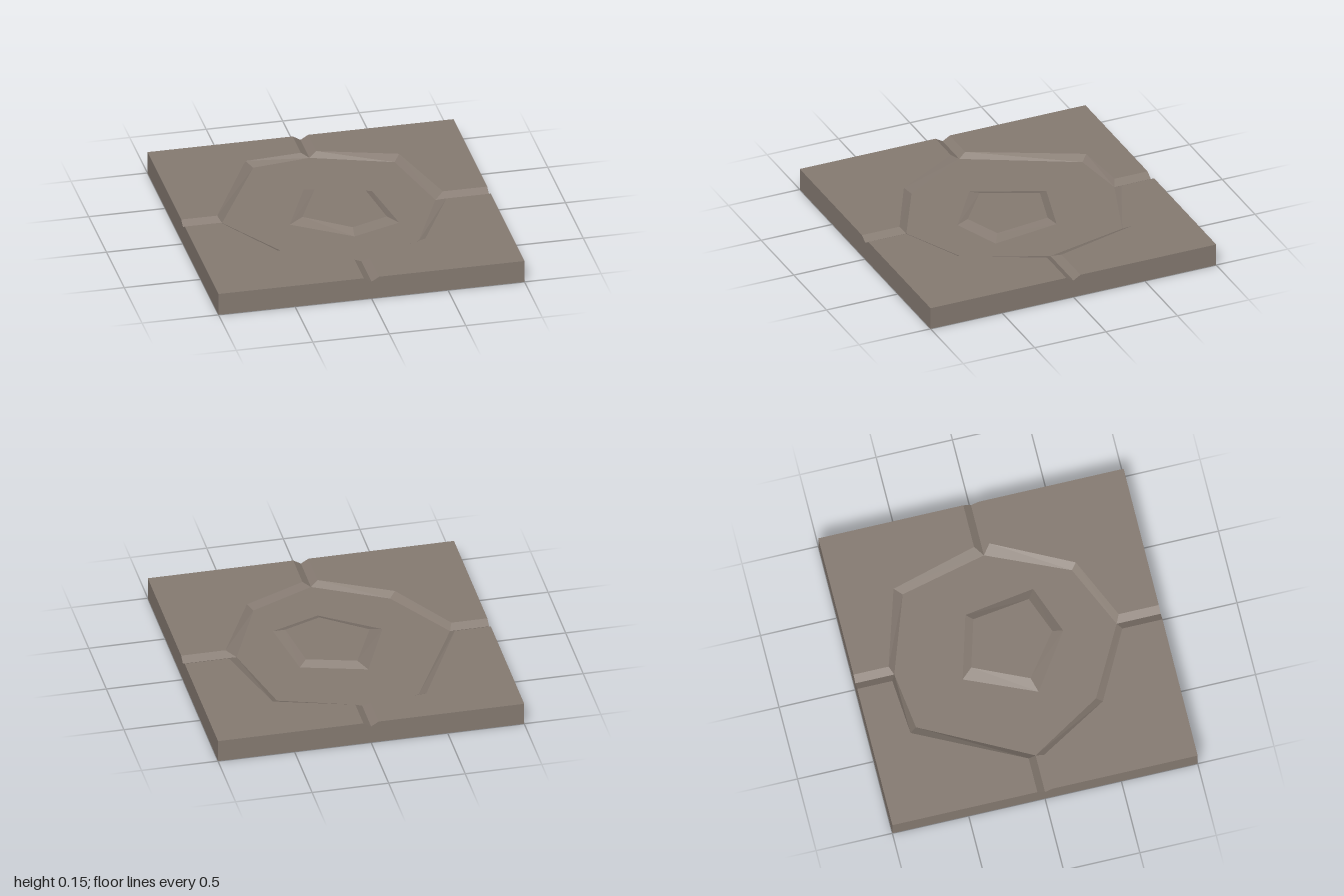
import * as THREE from 'three';

const TOP = 0.15, LOW = 0.12, GROOVE = 0.05;

// Per quadrant, clockwise from above starting at +x: outer rim and inner foot of the basin
const quadrants = [
  { corner: [1, 1], rim: [[0.71, 0.05], [0.455, 0.555], [0.05, 0.737]], foot: [[0.65, 0], [0.42, 0.52]] },
  { corner: [-1, 1], rim: [[-0.05, 0.737], [-0.5, 0.5], [-0.765, 0.05]], foot: [[0, 0.712], [-0.46, 0.465]] },
  { corner: [-1, -1], rim: [[-0.765, -0.05], [-0.42, -0.74], [-0.05, -0.77]], foot: [[-0.745, 0], [-0.38, -0.695]] },
  { corner: [1, -1], rim: [[0.05, -0.77], [0.555, -0.615], [0.71, -0.05]], foot: [[0, -0.745], [0.515, -0.565]] },
];
const axes = [[1, 0], [0, 1], [-1, 0], [0, -1]];

// Raised central pentagon, clockwise from above
const pentagonBase = [[-0.135, -0.33], [0.285, -0.21], [0.355, 0.25], [0.035, 0.37], [-0.33, 0.12]];
const pentagonTop = [[-0.08, -0.26], [0.235, -0.17], [0.285, 0.205], [0.04, 0.3], [-0.24, 0.09]];

const at = (p, y) => [p[0], y, p[1]];
const vectors = (points) => points.map(([x, z]) => new THREE.Vector2(x, -z));

// Flat horizontal polygon facing up
function flat(points, y, hole) {
  const shape = new THREE.Shape(vectors(points));
  if (hole) shape.holes.push(new THREE.Path(vectors(hole)));
  return new THREE.ShapeGeometry(shape).rotateX(-Math.PI / 2).translate(0, y, 0);
}

// Flat-shaded four-sided faces
function quads(list) {
  const positions = list.flatMap(([a, b, c, d]) => [a, b, c, a, c, d].flat());
  const geometry = new THREE.BufferGeometry();
  geometry.setAttribute('position', new THREE.Float32BufferAttribute(positions, 3));
  geometry.computeVertexNormals();
  return geometry;
}

// Sloping band between an outer and an inner outline
function band(outer, outerY, inner, innerY, closed) {
  const faces = [];
  const count = closed ? outer.length : outer.length - 1;
  for (let i = 0; i < count; i++) {
    const j = (i + 1) % outer.length;
    faces.push([at(outer[i], outerY), at(inner[i], innerY), at(inner[j], innerY), at(outer[j], outerY)]);
  }
  return quads(faces);
}

export function createModel() {
  const group = new THREE.Group();
  const stone = new THREE.MeshStandardMaterial({ color: 0x867b72, side: THREE.DoubleSide });
  stone.name = 'stone';
  const add = (name, geometry) => {
    const mesh = new THREE.Mesh(geometry, stone);
    mesh.name = name;
    group.add(mesh);
    return mesh;
  };

  quadrants.forEach(({ corner, rim, foot }, i) => {
    const next = quadrants[(i + 1) % 4];
    const [a, b] = [axes[i], axes[(i + 1) % 4]];
    // Points where this corner's slab meets the two grooves at the tile edge
    const start = [a[0] + b[0] * GROOVE, a[1] + b[1] * GROOVE];
    const end = [b[0] + a[0] * GROOVE, b[1] + a[1] * GROOVE];
    add('cornerSlab', flat([start, corner, end, ...[...rim].reverse()], TOP));
    add('basinSlope', band(rim, TOP, [...foot, next.foot[0]], LOW));

    // Two sloping sides of the V groove along this axis
    const before = quadrants[(i + 3) % 4];
    const startBefore = [a[0] - b[0] * GROOVE, a[1] - b[1] * GROOVE];
    const valley = [at(a, LOW), at(foot[0], LOW)];
    add('groove', quads([
      [at(start, TOP), valley[0], valley[1], at(rim[0], TOP)],
      [at(before.rim[2], TOP), valley[1], valley[0], at(startBefore, TOP)],
    ]));

    // Notched side wall; the underside stays open
    const profile = [[-1, 0], [1, 0], [1, TOP], [GROOVE, TOP], [0, LOW], [-GROOVE, TOP], [-1, TOP]];
    const wall = new THREE.Shape(profile.map(([x, y]) => new THREE.Vector2(x, y)));
    add('sideWall', new THREE.ShapeGeometry(wall).translate(0, 0, 1)).rotation.y = i * Math.PI / 2;
  });

  // Basin floor around the raised pentagon
  add('basinFloor', flat(quadrants.flatMap((q) => q.foot), LOW, pentagonBase));
  add('pentagonSlope', band(pentagonBase, LOW, pentagonTop, TOP, true));
  add('pentagonTop', flat(pentagonTop, TOP));
  return group;
}
